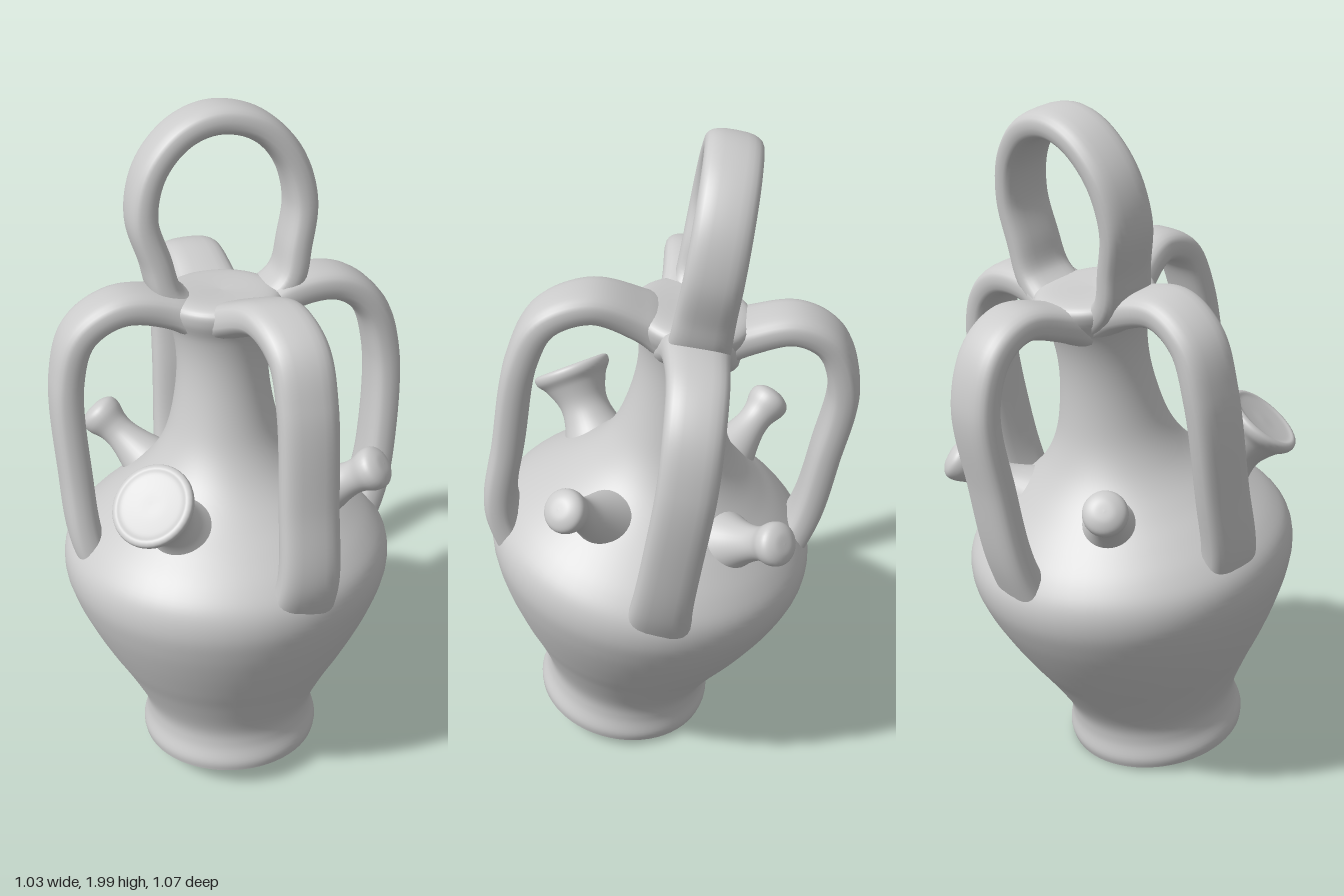
import * as THREE from 'three';

const material = new THREE.MeshStandardMaterial({ color: 0xcccccc });
const V = (p) => new THREE.Vector3(...p);
const UP = new THREE.Vector3(0, 1, 0);

function addMesh(parent, geometry, name) {
  const mesh = new THREE.Mesh(geometry, material);
  mesh.name = name;
  parent.add(mesh);
  return mesh;
}

// Smooth turned form from a few [radius, height] points
function turned(points, steps = 60, sides = 64) {
  const curve = new THREE.SplineCurve(points.map((p) => new THREE.Vector2(...p)));
  const profile = curve.getPoints(steps);
  profile.forEach((p) => { p.x = Math.max(p.x, 0); });
  return new THREE.LatheGeometry(profile, sides);
}

// Flat strap with a rounded section, swept along a path; it widens towards flared ends
function strap(points, widthAxis, width, thickness, flareStart, flareEnd) {
  const curve = new THREE.CatmullRomCurve3(points.map(V));
  const steps = 90, sides = 24, positions = [], index = [];
  const round = (v) => Math.sign(v) * Math.pow(Math.abs(v), 0.72);
  for (let i = 0; i <= steps; i++) {
    const u = i / steps;
    const center = curve.getPointAt(u), tangent = curve.getTangentAt(u);
    const normal = tangent.clone().cross(widthAxis).normalize();
    const side = normal.clone().cross(tangent);
    const grow = 1 + flareStart * Math.exp(-u * 12) + flareEnd * Math.exp(-(1 - u) * 12);
    for (let j = 0; j < sides; j++) {
      const a = (j / sides) * Math.PI * 2;
      const p = center.clone()
        .addScaledVector(side, round(Math.cos(a)) * width * grow / 2)
        .addScaledVector(normal, round(Math.sin(a)) * thickness * (1 + (grow - 1) * 0.6) / 2);
      positions.push(p.x, p.y, p.z);
    }
  }
  for (let i = 0; i < steps; i++) {
    for (let j = 0; j < sides; j++) {
      const a = i * sides + j, b = i * sides + (j + 1) % sides;
      index.push(a, b, a + sides, b, b + sides, a + sides);
    }
  }
  const geometry = new THREE.BufferGeometry();
  geometry.setAttribute('position', new THREE.Float32BufferAttribute(positions, 3));
  geometry.setIndex(index);
  geometry.computeVertexNormals();
  return geometry;
}

// Turned part standing from one point towards another
function aim(mesh, from, to) {
  mesh.position.copy(V(from));
  mesh.quaternion.setFromUnitVectors(UP, V(to).sub(V(from)).normalize());
}

export function createModel() {
  const model = new THREE.Group();
  model.name = 'jug';

  // Leaning vessel: foot, belly, shoulder and closed neck flaring into the handles
  const vessel = new THREE.Group();
  vessel.name = 'vessel';
  aim(vessel, [-0.052, 0.046, 0.155], [-0.025, 1.036, 0.003]);
  model.add(vessel);
  addMesh(vessel, turned([
    [0.264, 0], [0.268, 0.03], [0.256, 0.085], [0.264, 0.15], [0.318, 0.26], [0.369, 0.35],
    [0.42, 0.45], [0.458, 0.54], [0.479, 0.62], [0.472, 0.69], [0.432, 0.75], [0.368, 0.81],
    [0.3, 0.865], [0.24, 0.92], [0.197, 0.975], [0.165, 1.04], [0.144, 1.12], [0.131, 1.21],
    [0.13, 1.29], [0.142, 1.36], [0.166, 1.415], [0.165, 1.45], [0.12, 1.465], [0, 1.46],
  ], 120), 'body');
  const foot = addMesh(vessel, new THREE.CircleGeometry(0.264, 64), 'footBase');
  foot.rotation.x = Math.PI / 2;

  // Four strap handles from neck to shoulder
  const acrossZ = new THREE.Vector3(0, 0.16, 1).normalize();
  const acrossX = new THREE.Vector3(1, 0, 0);
  const handles = [
    ['rightHandle', acrossZ, [[-0.05, 1.4, -0.06], [-0.17, 1.465, -0.06], [-0.31, 1.492, -0.052],
      [-0.415, 1.43, -0.05], [-0.462, 1.29, -0.04], [-0.464, 1.0, 0.01], [-0.45, 0.8, 0.055], [-0.39, 0.64, 0.08]]],
    ['leftHandle', acrossZ, [[0.05, 1.39, -0.07], [0.18, 1.455, -0.08], [0.33, 1.45, -0.09],
      [0.426, 1.37, -0.085], [0.469, 1.22, -0.07], [0.46, 0.97, -0.03], [0.425, 0.78, 0], [0.35, 0.62, 0.02]]],
    ['frontHandle', acrossX, [[-0.01, 1.4, -0.02], [0.02, 1.48, 0.08], [0.06, 1.542, 0.21],
      [0.085, 1.505, 0.33], [0.09, 1.38, 0.398], [0.085, 1.1, 0.452], [0.078, 0.87, 0.487], [0.06, 0.69, 0.43]]],
    ['backHandle', acrossX, [[-0.01, 1.37, -0.08], [-0.015, 1.42, -0.22], [-0.02, 1.443, -0.35],
      [-0.03, 1.385, -0.445], [-0.035, 1.24, -0.49], [-0.045, 1.0, -0.452], [-0.055, 0.78, -0.405], [-0.06, 0.61, -0.33]]],
  ];
  for (const [name, axis, path] of handles) {
    addMesh(model, strap(path, axis, 0.162, 0.091, 0.6, 0.4), name);
  }

  // Carrying ring above the neck
  addMesh(model, strap([
    [-0.06, 1.4, -0.08], [-0.16, 1.49, -0.09], [-0.188, 1.59, -0.105], [-0.217, 1.71, -0.125], [-0.185, 1.835, -0.145],
    [-0.1, 1.925, -0.16], [0, 1.955, -0.165], [0.11, 1.925, -0.16], [0.195, 1.835, -0.145],
    [0.228, 1.71, -0.125], [0.208, 1.59, -0.105], [0.18, 1.49, -0.09], [0.07, 1.4, -0.08],
  ], new THREE.Vector3(0, 0.18, 1).normalize(), 0.155, 0.082, 0.3, 0.3), 'topRing');

  // Wide flared filling spout with a nearly flat mouth
  const spout = addMesh(model, turned([
    [0.14, -0.07], [0.098, 0.02], [0.077, 0.08], [0.074, 0.13], [0.094, 0.185], [0.115, 0.215],
    [0.117, 0.235], [0.104, 0.243], [0.085, 0.238], [0.04, 0.234], [0, 0.234],
  ], 60, 40), 'fillingSpout');
  aim(spout, [-0.2, 0.9, 0.23], [-0.31, 1.085, 0.315]);

  // Small knobs around the shoulder
  const knobs = [
    ['leftFrontKnob', [0.2, 0.91, 0.175], [0.33, 1.035, 0.262]],
    ['leftBackKnob', [0.2, 0.84, -0.19], [0.305, 0.925, -0.303]],
    ['rightBackKnob', [-0.21, 0.86, -0.17], [-0.32, 0.97, -0.28]],
  ];
  for (const [name, from, to] of knobs) {
    const h = V(from).distanceTo(V(to));
    const knob = addMesh(model, turned([
      [0.1, -0.04], [0.066, h - 0.14], [0.05, h - 0.08], [0.05, h - 0.04], [0.062, h],
      [0.058, h + 0.028], [0.032, h + 0.045], [0, h + 0.048],
    ], 40, 32), name);
    aim(knob, from, to);
  }
  return model;
}
